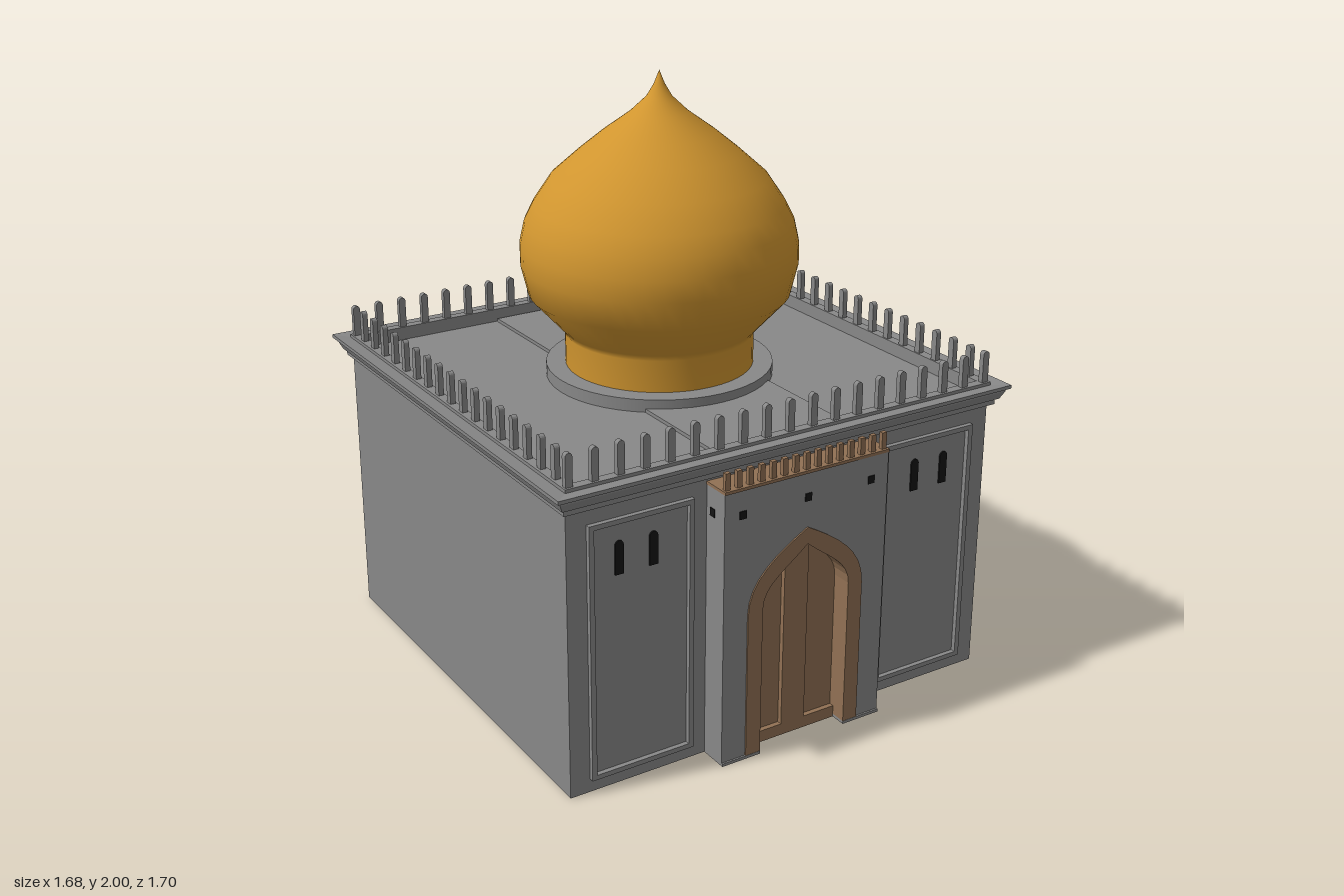
import * as THREE from 'three';

const mat = (color, side = THREE.FrontSide) => new THREE.MeshStandardMaterial({ color, side });
const stone = mat(0x888888);
const wood = mat(0x917154);
const gold = mat(0xd0952f, THREE.DoubleSide);
const dark = mat(0x151515);

const V = (x, y) => new THREE.Vector2(x, y);

function add(parent, name, geometry, material, x = 0, y = 0, z = 0) {
  const mesh = new THREE.Mesh(geometry, material);
  mesh.name = name;
  mesh.position.set(x, y, z);
  parent.add(mesh);
  return mesh;
}

const box = (parent, name, material, w, h, d, x, y, z) =>
  add(parent, name, new THREE.BoxGeometry(w, h, d), material, x, y, z);

const extrude = (shape, depth) =>
  new THREE.ExtrudeGeometry(shape, { depth, bevelEnabled: false, curveSegments: 8 });

// Pointed arch from right foot over the apex to left foot, standing on the plinths
const foot = 0.01;
const archPoints = (w, spring, c1, c2, apex) => {
  const right = new THREE.CubicBezierCurve(V(w, spring), V(w, c1), V(w * 0.5, c2), V(0, apex)).getPoints(8);
  const left = right.slice(0, -1).reverse().map((p) => V(-p.x, p.y));
  return [V(w, foot), ...right, ...left, V(-w, foot)];
};
const outerArch = archPoints(0.217, 0.5, 0.62, 0.685, 0.745);
const innerArch = archPoints(0.163, 0.51, 0.59, 0.62, 0.69);

// Small post with a rounded top
function postGeometry(w, h, d) {
  const s = new THREE.Shape();
  s.moveTo(-w / 2, 0);
  s.lineTo(w / 2, 0);
  s.lineTo(w / 2, h - w / 2);
  s.absarc(0, h - w / 2, w / 2, 0, Math.PI, false);
  s.closePath();
  return new THREE.ExtrudeGeometry(s, { depth: d, bevelEnabled: false, curveSegments: 4 }).translate(0, 0, -d / 2);
}

// Framed wall panel with two narrow windows, set slightly towards the corner
function makePanel(side) {
  const g = new THREE.Group();
  g.name = 'wallPanel';
  const rect = (x, y0, y1) => [V(-x, y0), V(x, y0), V(x, y1), V(-x, y1)];
  const frame = new THREE.Shape(rect(0.181, 0.045, 0.895));
  frame.holes.push(new THREE.Path(rect(0.164, 0.061, 0.879).reverse()));
  add(g, 'panelFrame', extrude(frame, 0.026), stone, 0, 0, 0.745);
  for (const x of [-0.045, 0.073]) {
    add(g, 'narrowWindow', postGeometry(0.029, 0.11, 0.01), dark, side * x, 0.71, 0.755);
  }
  return g;
}

// Projecting gateway with arched door and a little balcony rail
function makePortal() {
  const g = new THREE.Group();
  g.name = 'portal';
  const wall = new THREE.Shape([V(0.305, foot), V(0.305, 0.925), V(-0.305, 0.925), V(-0.305, foot),
    ...outerArch.slice().reverse()]);
  add(g, 'portalWall', extrude(wall, 0.12), stone, 0, 0, 0.725);

  const frame = new THREE.Shape([...outerArch, ...innerArch.slice().reverse()]);
  add(g, 'archFrame', extrude(frame, 0.1), wood, 0, 0, 0.75);

  // Door leaf with stiles, bottom rails, plinths and side vents
  add(g, 'door', extrude(new THREE.Shape(innerArch), 0.03), wood, 0, 0, 0.75);
  for (const s of [-1, 1]) {
    const stile = new THREE.Shape([V(0, 0), V(s * 0.045, 0), V(s * 0.045, 0.655), V(0, 0.685)]);
    add(g, 'doorStile', extrude(stile, 0.022), wood, 0, 0, 0.775);
    box(g, 'doorRail', wood, 0.118, 0.04, 0.022, s * 0.104, 0.02, 0.786);
    box(g, 'plinth', stone, 0.142, foot, 0.13, s * 0.234, foot / 2, 0.786);
    box(g, 'sideVent', dark, 0.006, 0.026, 0.024, s * 0.305, 0.845, 0.782);
  }
  for (const x of [-0.24, 0, 0.24]) {
    box(g, 'frontVent', dark, 0.024, 0.026, 0.006, x, 0.845, 0.845);
  }

  // Balcony
  box(g, 'balconyPlate', wood, 0.612, 0.01, 0.1, 0, 0.929, 0.798);
  const picket = new THREE.BoxGeometry(0.018, 0.056, 0.015);
  for (let i = 0; i < 15; i++) {
    add(g, 'balconyPicket', picket, wood, (i - 7) * 0.0415, 0.961, 0.832);
  }
  return g;
}

export function createModel() {
  const model = new THREE.Group();
  model.name = 'domedBuilding';
  const building = new THREE.Group();
  building.name = 'building';
  building.position.z = -0.006;
  model.add(building);

  box(building, 'walls', stone, 1.574, 0.96, 1.51, 0, 0.48, 0);

  // Cornice, kerb and roof as one four-sided turned profile
  const profile = [[0, 0.95], [0.802, 0.95], [0.802, 0.965], [0.812, 0.97], [0.825, 0.997], [0.825, 1.003],
    [0.838, 1.008], [0.838, 1.02], [0.79, 1.015], [0.79, 1.026], [0.757, 1.026], [0.757, 0.98], [0, 0.98]];
  const cornice = new THREE.LatheGeometry(profile.map(([r, y]) => V(r * Math.SQRT2, y)), 4)
    .rotateY(Math.PI / 4).scale(1, 1, 0.967).toNonIndexed();
  cornice.computeVertexNormals();
  add(building, 'corniceAndRoof', cornice, stone);
  box(building, 'roofStrip', stone, 0.475, 0.02, 1.45, 0, 0.982, 0);

  // Parapet posts on all four sides
  const post = postGeometry(0.024, 0.11, 0.018);
  for (const s of [-1, 1]) {
    for (let i = 0; i < 19; i++) {
      add(building, 'parapetPost', post, stone, -0.772 + i * 0.08578, 1.022, s * 0.747);
    }
    for (let i = 0; i < 17; i++) {
      add(building, 'parapetPost', post, stone, s * 0.772, 1.022, (i - 8) * 0.0847).rotation.y = Math.PI / 2;
    }
  }

  // Onion dome on a round base
  add(building, 'domeBase', new THREE.CylinderGeometry(0.38, 0.38, 0.045, 48), stone, 0, 1.0, 0);
  const dome = [[0.315, 1.0], [0.315, 1.13], [0.325, 1.15], [0.434, 1.27], [0.458, 1.37], [0.458, 1.44],
    [0.442, 1.51], [0.412, 1.57], [0.355, 1.655], [0.265, 1.735], [0.185, 1.8], [0.095, 1.865],
    [0.042, 1.915], [0.018, 1.955], [0, 2.0]];
  add(building, 'dome', new THREE.LatheGeometry(dome.map(([r, y]) => V(r, y)), 48), gold);

  // Matching front and back
  for (const turn of [0, Math.PI]) {
    const facade = new THREE.Group();
    facade.name = turn ? 'backPanels' : 'frontPanels';
    for (const s of [-1, 1]) {
      const panel = makePanel(s);
      panel.position.x = s * 0.538;
      facade.add(panel);
    }
    facade.rotation.y = turn;
    building.add(facade);

    const portal = makePortal();
    portal.rotation.y = turn;
    model.add(portal);
  }
  return model;
}
